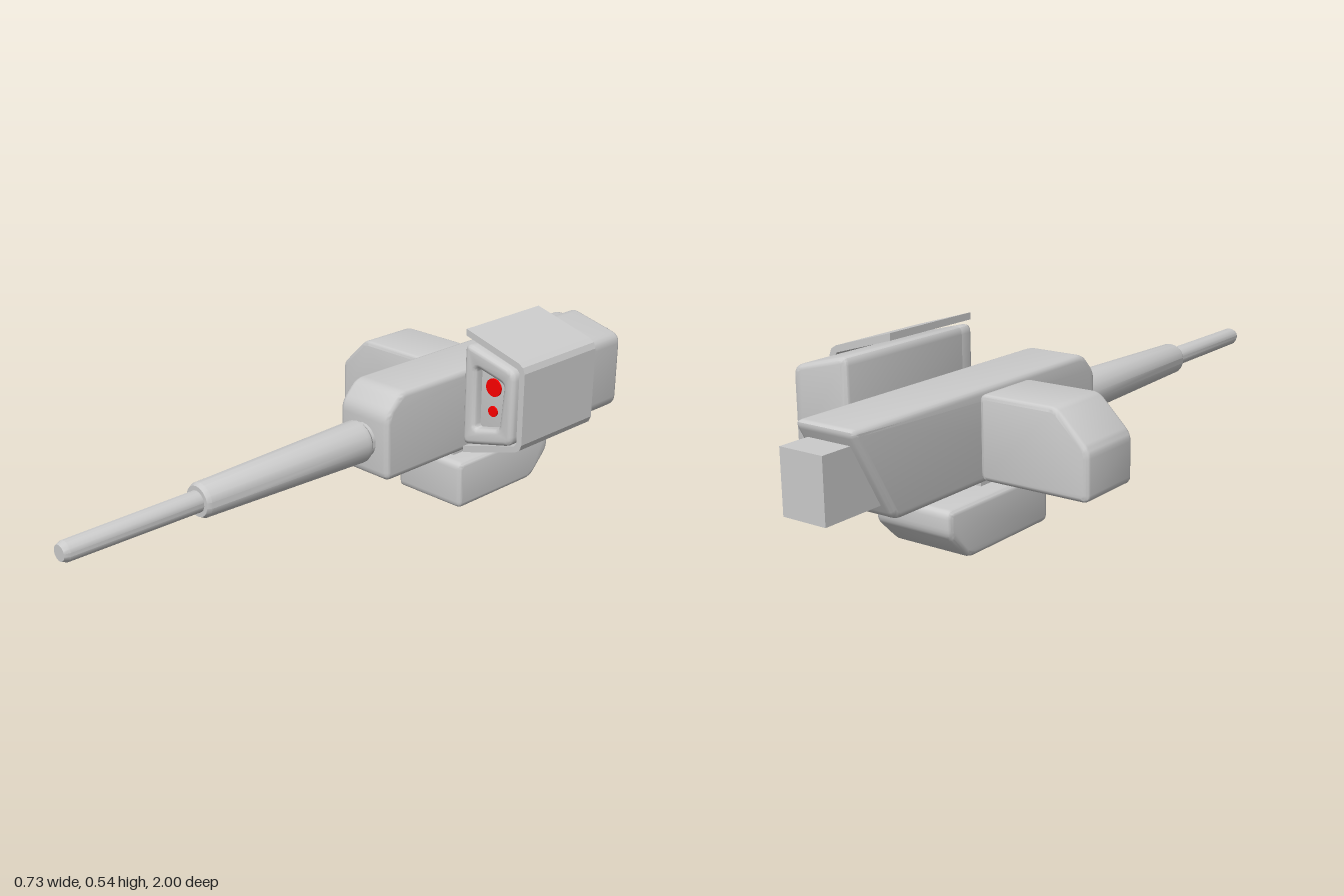
import * as THREE from 'three';
import { toCreasedNormals } from 'three/addons/utils/BufferGeometryUtils.js';

const grey = new THREE.MeshStandardMaterial({ color: 0xcccccc });
const red = new THREE.MeshStandardMaterial({ color: 0xff0000 });

// Polygon path with each corner cut back by d and curved
function roundedPath(points, d, Type = THREE.Shape) {
  const path = new Type();
  const pts = points.map(p => new THREE.Vector2(...p));
  pts.forEach((p, i) => {
    const prev = pts[(i + pts.length - 1) % pts.length];
    const next = pts[(i + 1) % pts.length];
    const a = p.clone().add(prev.clone().sub(p).setLength(d));
    const b = p.clone().add(next.clone().sub(p).setLength(d));
    if (i === 0) path.moveTo(a.x, a.y);
    else path.lineTo(a.x, a.y);
    path.quadraticCurveTo(p.x, p.y, b.x, b.y);
  });
  path.closePath();
  return path;
}

// Bevelled extrusion filling z from 0 to depth, kept inside the outline
function bevelled(shape, depth, bevel) {
  const geo = new THREE.ExtrudeGeometry(shape, {
    depth: depth - 2 * bevel, bevelEnabled: true, bevelThickness: bevel,
    bevelSize: bevel, bevelOffset: -bevel, bevelSegments: 3, curveSegments: 4,
  });
  geo.translate(0, 0, bevel);
  return toCreasedNormals(geo, 0.6);
}

export function createModel() {
  const group = new THREE.Group();
  const add = (name, geo, material = grey) => {
    const mesh = new THREE.Mesh(geo, material);
    mesh.name = name;
    group.add(mesh);
    return mesh;
  };
  // Outline in (x, y), spanning z0 to z1
  const alongZ = (name, shape, z0, z1, bevel) =>
    add(name, bevelled(shape, z1 - z0, bevel).translate(0, 0, z0));
  // Outline in (z, y), spanning x0 to x1
  const alongX = (name, shape, x0, x1, bevel) =>
    add(name, bevelled(shape, x1 - x0, bevel).rotateY(-Math.PI / 2).translate(x1, 0, 0));
  const box = (name, [x0, x1], [y0, y1], [z0, z1]) =>
    add(name, new THREE.BoxGeometry(x1 - x0, y1 - y0, z1 - z0)
      .translate((x0 + x1) / 2, (y0 + y1) / 2, (z0 + z1) / 2));

  // Receiver with chamfered nose and raked rear
  alongX('receiver', roundedPath([
    [-0.80, 0.16], [0.03, 0.16], [0.03, 0.35], [-0.025, 0.406], [-0.935, 0.406],
  ], 0.024), -0.045, 0.136, 0.016);
  box('rearBlock', [-0.02, 0.11], [0.2, 0.365], [-1, -0.78]);

  // Stepped, tapering barrel
  const profile = [
    [0.05, 0], [0.05, 0.04], [0.06, 0.052], [0.061, 0.065], [0.047, 0.592],
    [0.041, 0.604], [0.029, 0.604], [0.027, 0.985], [0.021, 1], [0, 1],
  ].map(p => new THREE.Vector2(...p));
  const barrel = new THREE.LatheGeometry(profile, 18).rotateX(Math.PI / 2);
  add('barrel', toCreasedNormals(barrel, 0.5)).position.set(0.045, 0.262, 0);

  // Side magazine
  alongZ('sideMagazine', roundedPath([
    [-0.368, 0.173], [-0.047, 0.173], [-0.047, 0.396], [-0.275, 0.396], [-0.368, 0.303],
  ], 0.02), -0.49, -0.293, 0.013);

  // Lower mount
  alongX('lowerMount', roundedPath([
    [-0.57, 0], [-0.24, 0], [-0.24, 0.14], [-0.645, 0.14], [-0.645, 0.075],
  ], 0.02), -0.075, 0.165, 0.014);
  box('mountNeck', [-0.014, 0.104], [0.12, 0.18], [-0.445, -0.28]);

  // Sensor pod: solid body behind a bezel whose opening makes the recess
  const podOutline = () => roundedPath([
    [0.168, 0.204], [0.345, 0.247], [0.345, 0.461], [0.168, 0.507],
  ], 0.026);
  alongZ('sensorBody', podOutline(), -0.725, -0.27, 0.015);
  const bezel = podOutline();
  bezel.holes.push(roundedPath([
    [0.21, 0.262], [0.21, 0.443], [0.308, 0.418], [0.297, 0.284],
  ], 0.014, THREE.Path));
  alongZ('sensorBezel', bezel, -0.3, -0.24, 0.0135);
  box('sensorBracket', [0.12, 0.18], [0.25, 0.353], [-0.48, -0.34]);

  // Red lenses in the recess
  for (const [name, y, r] of [['upperLens', 0.39, 0.026], ['lowerLens', 0.32, 0.0155]]) {
    const lens = new THREE.CylinderGeometry(r, r, 0.006, 28).rotateX(Math.PI / 2);
    add(name, lens, red).position.set(0.255, y, -0.268);
  }

  // Bent plate shroud wrapped around the pod
  const half = [[0.157, 0.538], [0.342, 0.484], [0.358, 0.474], [0.365, 0.457]];
  const innerHalf = [[0.347, 0.456], [0.339, 0.466], [0.157, 0.519]];
  const mirror = list => list.map(([x, y]) => [x, 0.709 - y]).reverse();
  const outline = [...half, ...mirror(half), ...mirror(innerHalf), ...innerHalf]
    .map(p => new THREE.Vector2(...p));
  const shroud = new THREE.ExtrudeGeometry(new THREE.Shape(outline), { depth: 0.315, bevelEnabled: false });
  add('sensorShroud', shroud.translate(0, 0, -0.575));

  return group;
}
